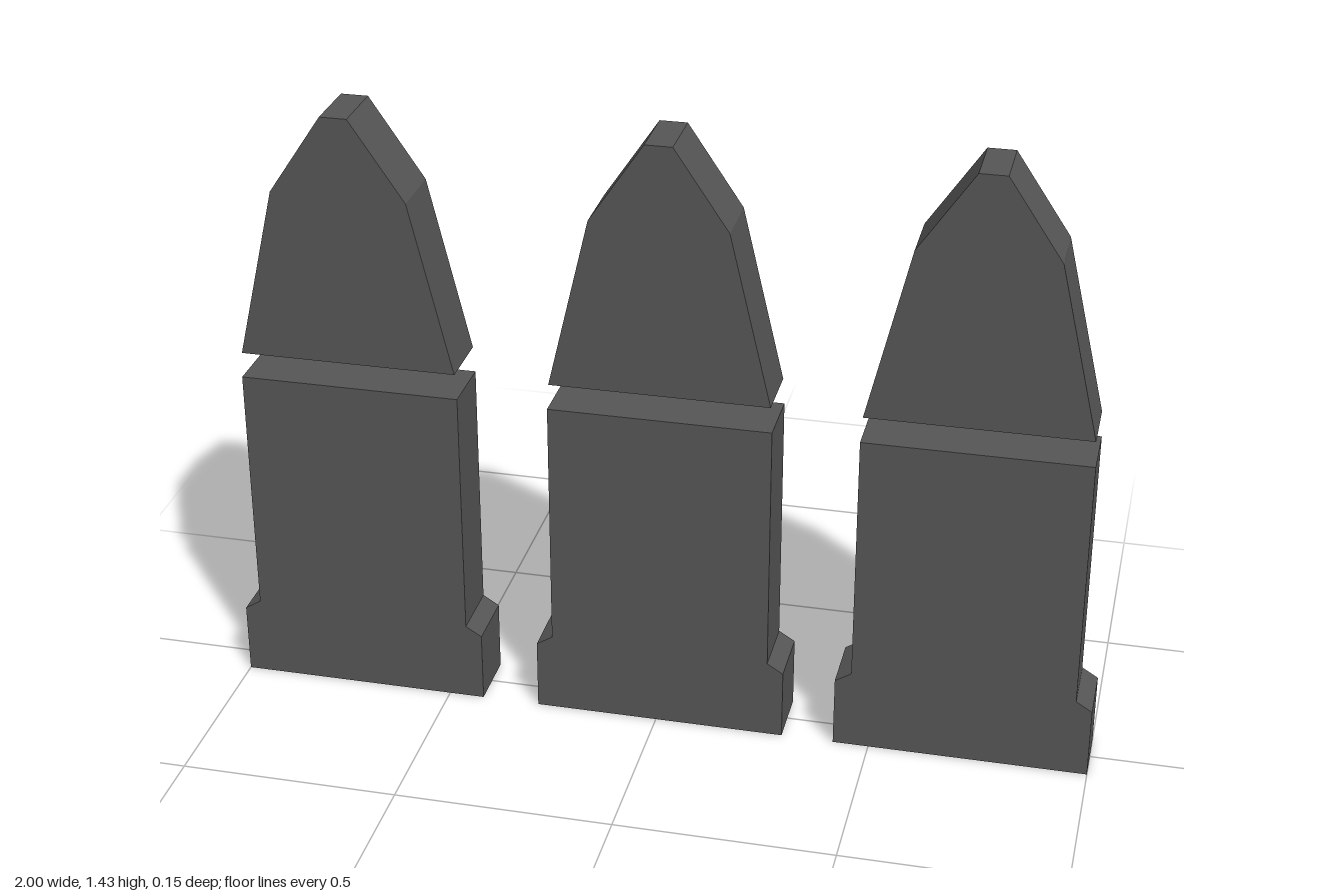
import * as THREE from 'three';

const DEPTH = 0.146;
const material = new THREE.MeshStandardMaterial({ color: 0x555555, flatShading: true });

// Slab mirrored about its centre line, from right-hand [halfWidth, y] points, bottom to top
function slab(name, half) {
  const left = half.map(([x, y]) => [-x, y]).reverse();
  const shape = new THREE.Shape([...half, ...left].map(([x, y]) => new THREE.Vector2(x, y)));
  const geometry = new THREE.ExtrudeGeometry(shape, { depth: DEPTH, bevelEnabled: false });
  geometry.translate(0, 0, -DEPTH / 2);
  const mesh = new THREE.Mesh(geometry, material);
  mesh.name = name;
  return mesh;
}

export function createModel() {
  const model = new THREE.Group();
  model.name = 'threeBullets';

  [['right', -0.709], ['middle', 0.007], ['left', 0.709]].forEach(([side, x]) => {
    const bullet = new THREE.Group();
    bullet.name = `${side}Bullet`;
    bullet.position.x = x;
    // Straight casing with a wider, chamfered rim at the foot
    bullet.add(slab('casing', [[0.291, 0], [0.291, 0.167], [0.254, 0.19], [0.254, 0.784]]));
    // Pointed tip floating above the casing
    bullet.add(slab('tip', [[0.25, 0.845], [0.155, 1.247], [0.031, 1.431]]));
    model.add(bullet);
  });

  return model;
}
